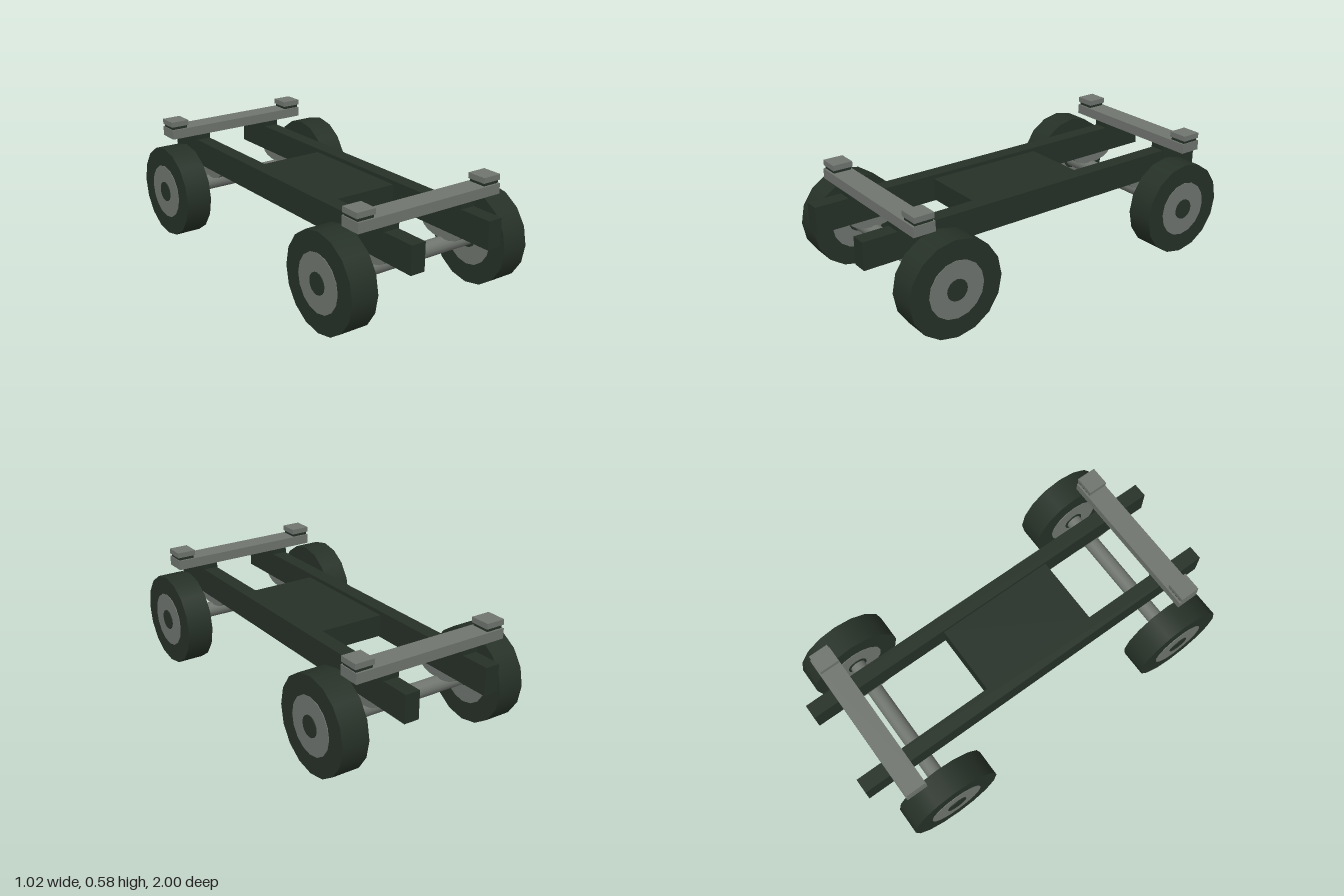
import * as THREE from 'three';

const darkGreen = new THREE.MeshStandardMaterial({ color: 0x263127 });
darkGreen.name = 'dark green';
const gray = new THREE.MeshStandardMaterial({ color: 0x70756f });
gray.name = 'gray';

function box(parent, name, mat, size, pos) {
  const mesh = new THREE.Mesh(new THREE.BoxGeometry(...size), mat);
  mesh.name = name;
  mesh.position.set(...pos);
  parent.add(mesh);
  return mesh;
}

// Cylinder lying along x
function roller(parent, name, mat, radius, length, pos, sides = 16) {
  const geo = new THREE.CylinderGeometry(radius, radius, length, sides);
  geo.rotateZ(Math.PI / 2);
  const mesh = new THREE.Mesh(geo, mat);
  mesh.name = name;
  mesh.position.set(...pos);
  parent.add(mesh);
  return mesh;
}

// Axle with two wheels and the springs that carry the rails
function makeAxleSet(name, z) {
  const set = new THREE.Group();
  set.name = name;
  set.position.set(0, 0.237, z);
  roller(set, 'axle', gray, 0.04, 0.76, [0, 0, 0]);
  for (const side of [-1, 1]) {
    const wheel = new THREE.Group();
    wheel.name = side > 0 ? 'leftWheel' : 'rightWheel';
    wheel.position.x = side * 0.435;
    roller(wheel, 'tire', darkGreen, 0.236, 0.136, [0, 0, 0]);
    roller(wheel, 'hub', gray, 0.14, 0.142, [0, 0, 0]);
    roller(wheel, 'hubCap', darkGreen, 0.052, 0.15, [0, 0, 0]);
    set.add(wheel);
    const spring = roller(set, 'spring', gray, 0.13, 0.052, [side * 0.219, 0.087, 0]);
    spring.scale.y = 0.42;
  }
  return set;
}

// Cross beam on two blocks with a pad at each end
function makeBolster(name, z) {
  const bolster = new THREE.Group();
  bolster.name = name;
  bolster.position.z = z;
  box(bolster, 'crossBeam', gray, [0.81, 0.05, 0.11], [0, 0.51, 0]);
  for (const side of [-1, 1]) {
    box(bolster, 'mountBlock', darkGreen, [0.085, 0.052, 0.09], [side * 0.22, 0.459, 0]);
    box(bolster, 'padNeck', darkGreen, [0.085, 0.016, 0.09], [side * 0.358, 0.543, 0]);
    box(bolster, 'pad', gray, [0.099, 0.027, 0.1], [side * 0.358, 0.5635, 0]);
  }
  return bolster;
}

export function createModel() {
  const model = new THREE.Group();
  model.name = 'chassis';

  // Frame rails and centre deck
  for (const side of [-1, 1]) {
    box(model, side > 0 ? 'leftRail' : 'rightRail', darkGreen,
      [0.075, 0.135, 2], [side * 0.219, 0.3875, 0]);
  }
  box(model, 'deck', darkGreen, [0.37, 0.11, 0.62], [0, 0.381, 0.053]);

  model.add(makeAxleSet('frontAxleSet', 0.695), makeAxleSet('rearAxleSet', -0.677));
  model.add(makeBolster('frontBolster', 0.783), makeBolster('rearBolster', -0.81));
  return model;
}
